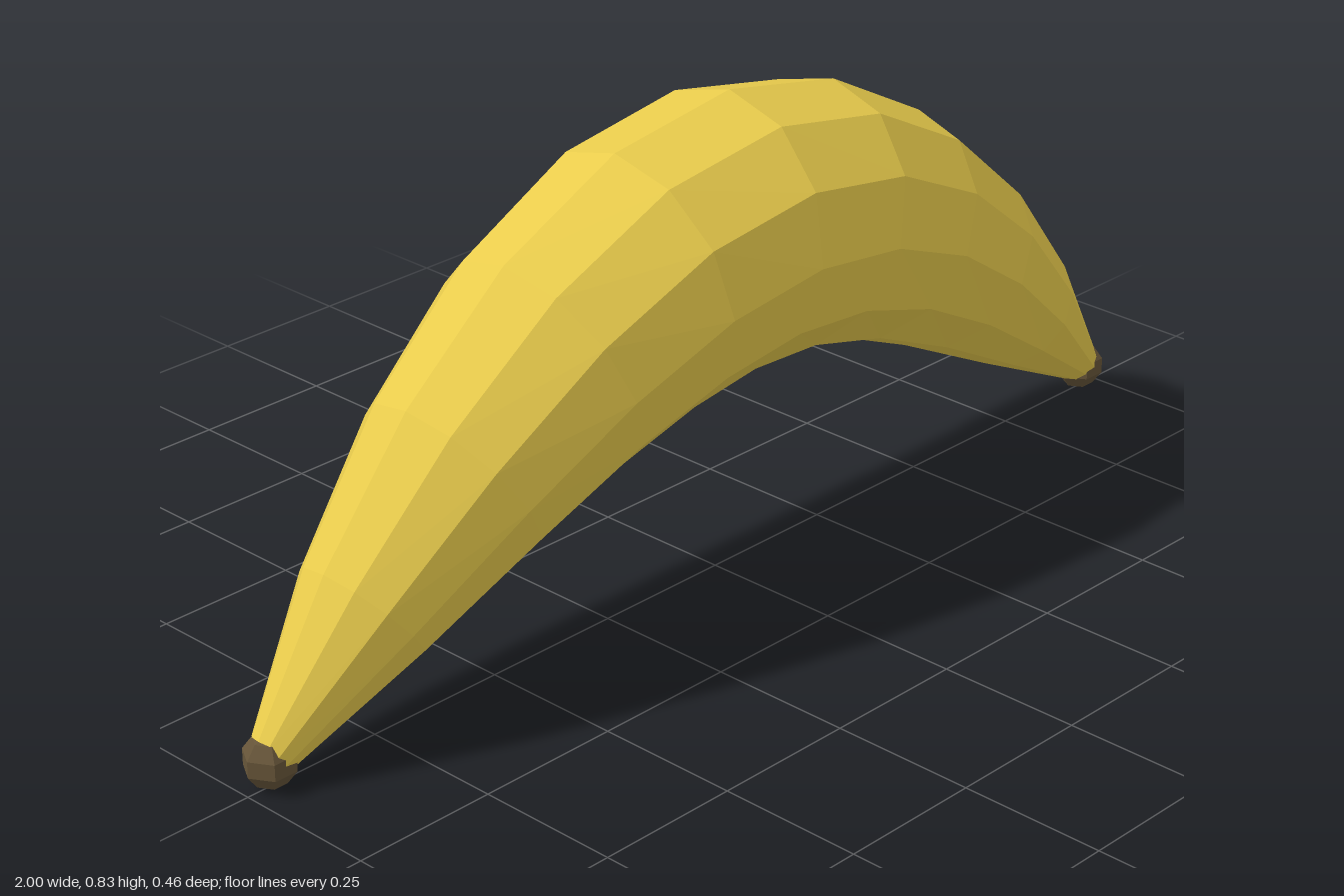
import * as THREE from 'three';

const SEGMENTS = 10;
const SIDES = 12;
const HALF_LENGTH = 0.955;

// Centre line of the fruit: a cosine arch between the two tips, t from -1 to 1
const centre = (t) =>
  new THREE.Vector2(HALF_LENGTH * t, 0.05 + 0.554 * Math.cos((t * Math.PI) / 2));

// Thickness swells in the middle and tapers to the tips
const thickness = (t) =>
  Math.max(0.037, 0.23 * Math.pow(Math.max(0, Math.cos((t * Math.PI) / 2)), 0.6));

// Bends a straight cylinder along the arch, each ring square to the next segment
function createBody() {
  const geometry = new THREE.CylinderGeometry(1, 1, 1, SIDES, SEGMENTS);
  const position = geometry.attributes.position;
  const step = 2 / SEGMENTS;
  for (let i = 0; i < position.count; i++) {
    const t = 2 * position.getY(i);
    const from = Math.min(t, 1 - step);
    const tangent = centre(from + step).sub(centre(from)).normalize();
    const c = centre(t);
    const r = thickness(t);
    const up = -position.getX(i) * r;
    position.setXYZ(i, c.x - tangent.y * up, c.y + tangent.x * up, position.getZ(i) * r);
  }
  geometry.computeVertexNormals();
  const mesh = new THREE.Mesh(
    geometry,
    new THREE.MeshStandardMaterial({ color: 0xe8cb4c, flatShading: true })
  );
  mesh.name = 'body';
  return mesh;
}

export function createModel() {
  const model = new THREE.Group();
  model.name = 'banana';
  model.add(createBody());

  // Dark faceted knobs on both tips
  const tipGeometry = new THREE.SphereGeometry(0.045, 6, 5);
  const tipMaterial = new THREE.MeshStandardMaterial({ color: 0x665539, flatShading: true });
  for (const side of [-1, 1]) {
    const tip = new THREE.Mesh(tipGeometry, tipMaterial);
    tip.name = side > 0 ? 'leftTip' : 'rightTip';
    tip.position.set(side * HALF_LENGTH, 0.047, 0);
    model.add(tip);
  }
  return model;
}
